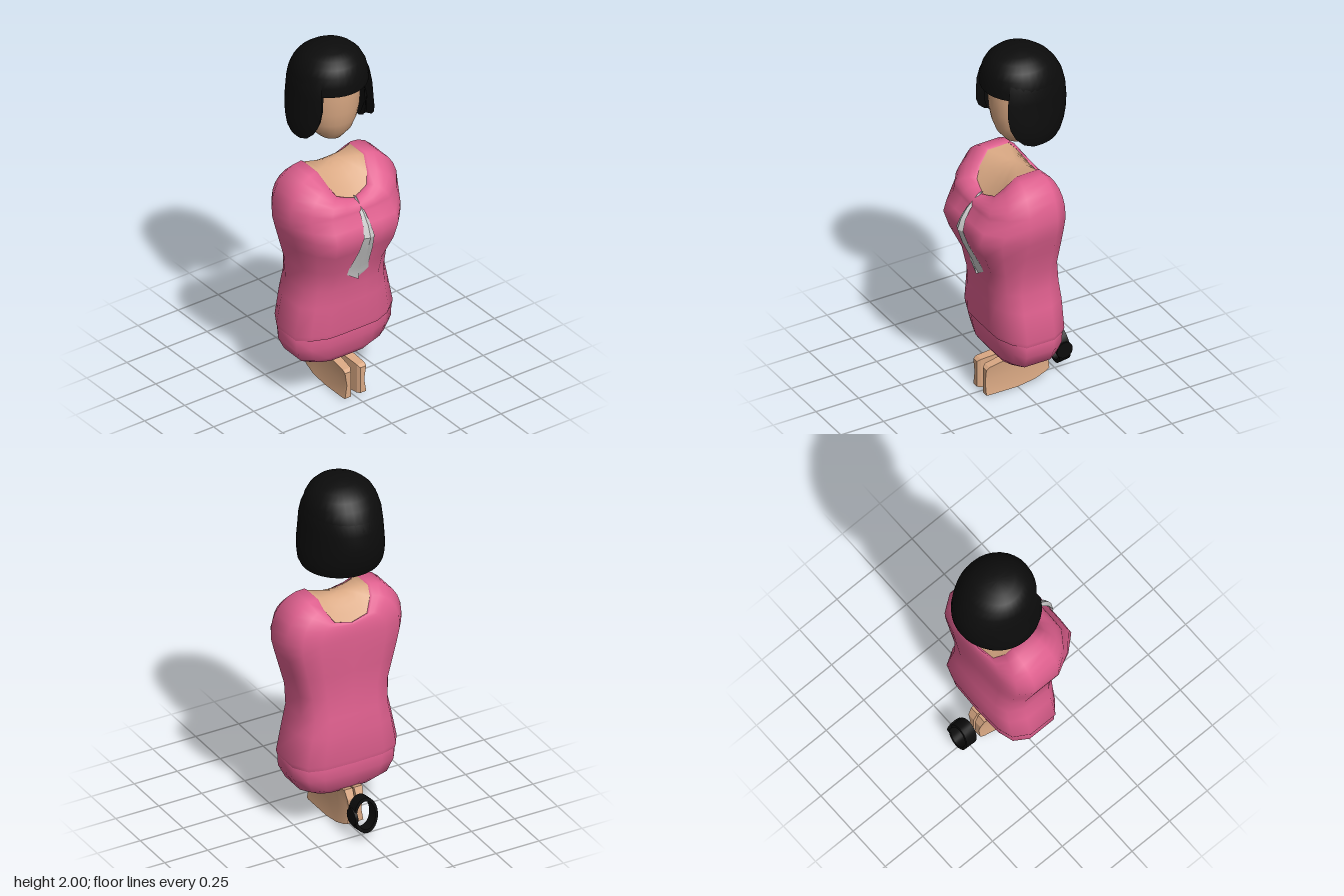
import * as THREE from 'three';
import { toCreasedNormals } from 'three/addons/utils/BufferGeometryUtils.js';

const PINK = 0xe0608f, SKIN = 0xd9a883, BLACK = 0x0c0c0c, GREY = 0xcccccc;

// Mesh through closed cross-sections, with optional fan caps; faces are turned outward
function loft(name, color, rings, { caps = true, crease = 1, double = false } = {}) {
  const n = rings[0].length, pos = rings.flat(2), idx = [];
  for (let r = 0; r < rings.length - 1; r++) {
    for (let i = 0; i < n; i++) {
      const a = r * n + i, b = r * n + (i + 1) % n;
      idx.push(a, b, b + n, a, b + n, a + n);
    }
  }
  if (caps) {
    [0, rings.length - 1].forEach((r, end) => {
      const c = pos.length / 3;
      for (let k = 0; k < 3; k++) pos.push(rings[r].reduce((s, p) => s + p[k], 0) / n);
      for (let i = 0; i < n; i++) {
        const a = r * n + i, b = r * n + (i + 1) % n;
        idx.push(c, end ? a : b, end ? b : a);
      }
    });
  }
  const P = i => new THREE.Vector3().fromArray(pos, i * 3);
  let volume = 0;
  for (let i = 0; i < idx.length; i += 3) {
    volume += P(idx[i]).dot(P(idx[i + 1]).cross(P(idx[i + 2])));
  }
  if (volume < 0) idx.reverse();
  const geo = new THREE.BufferGeometry();
  geo.setAttribute('position', new THREE.Float32BufferAttribute(pos, 3));
  geo.setIndex(idx);
  const mat = new THREE.MeshStandardMaterial({ color });
  if (double) mat.side = THREE.DoubleSide;
  const mesh = new THREE.Mesh(toCreasedNormals(geo, crease), mat);
  mesh.name = name;
  return mesh;
}

// Half outline from front middle to back middle, mirrored to a full ring
const mirrored = half => [...half, ...half.slice(1, -1).reverse().map(([x, y, z]) => [-x, y, z])];

// Body cross-section: height, half width, front z, back z, half width of the flat front
function bodyRing([y, w, zf, zb, fw]) {
  const s1 = Math.min(0.085, zf * 0.55), s2 = Math.max(-0.075, zb * 0.55);
  return mirrored([
    [0, y, zf], [fw / 2, y, zf], [fw, y, zf * 0.985],
    [fw * 0.42 + w * 0.58, y, zf * 0.58 + s1 * 0.42],
    [w, y, s1], [w, y, s2], [w * 0.84, y, zb * 0.83], [w * 0.56, y, zb * 0.97], [0, y, zb],
  ]);
}

// Oval ring with separate front and back depth
function ovalRing([y, w, zf, zb], zc = -0.04, n = 32) {
  return Array.from({ length: n }, (_, i) => {
    const a = i / n * Math.PI * 2, c = Math.cos(a);
    return [w * Math.sin(a), y, zc + c * (c > 0 ? zf - zc : zc - zb)];
  });
}

function createBody(group) {
  const rings = [
    [0.395, 0.298, 0.172, -0.185, 0.15], [0.42, 0.305, 0.177, -0.19, 0.15],
    [0.58, 0.272, 0.181, -0.19, 0.14], [0.68, 0.25, 0.186, -0.181, 0.14],
    [0.80, 0.257, 0.21, -0.167, 0.15], [0.93, 0.293, 0.268, -0.174, 0.18],
    [1.02, 0.318, 0.297, -0.178, 0.187], [1.08, 0.333, 0.278, -0.18, 0.187],
    [1.13, 0.334, 0.242, -0.18, 0.18],
  ].map(bodyRing);
  const neck = mirrored([
    [0, 1.19, 0.178], [0.05, 1.205, 0.17], [0.1, 1.225, 0.16], [0.13, 1.275, 0.125], [0.155, 1.34, 0.06],
    [0.155, 1.343, -0.07], [0.145, 1.3, -0.11], [0.1, 1.235, -0.155], [0, 1.215, -0.165],
  ]);
  // Shoulders curve over from the chest to the neckline
  const base = rings[rings.length - 1];
  for (let k = 1; k <= 6; k++) {
    const t = k / 6 * Math.PI / 2, h = 1 - Math.cos(t), v = Math.sin(t);
    rings.push(base.map(([x, y, z], i) => {
      const [nx, ny, nz] = neck[i];
      return [x + (nx - x) * h, y + (ny - y) * v, z + (nz - z) * h];
    }));
  }
  // Turned-in neckline edge
  rings.push(neck.map(([x, y, z]) => [x * 0.93, y - 0.006, z * 0.94]));
  group.add(loft('top', PINK, rings, { caps: false, crease: 1.1, double: true }));

  // Skin filling the neckline
  const skin = [0, 0.2, 0.4, 0.6, 0.8, 0.98].map(t => neck.map(([x, y, z]) => [
    x * 0.95 * (1 - t), y - 0.008 + (1.335 - y) * Math.sin(t * Math.PI / 2),
    z * 0.95 * (1 - t) - 0.02 * t]));
  group.add(loft('upperChest', SKIN, skin, { crease: 1.2, double: true }));

  group.add(loft('hips', PINK, [
    [0.43, 0.285, 0.155, -0.175, 0.14], [0.395, 0.297, 0.16, -0.182, 0.14],
    [0.33, 0.294, 0.152, -0.178, 0.14], [0.255, 0.257, 0.138, -0.16, 0.13],
    [0.215, 0.185, 0.11, -0.125, 0.1], [0.192, 0.11, 0.075, -0.08, 0.06],
    [0.183, 0.03, 0.02, -0.02, 0.015],
  ].map(bodyRing), { crease: 1.1 }));

  // Tie bending over the chest
  group.add(loft('tie', GREY, [
    [1.2, 0.005, 0.19], [1.13, 0.016, 0.26], [1.08, 0.023, 0.293], [1.02, 0.033, 0.313],
    [0.93, 0.043, 0.283], [0.8, 0.061, 0.222], [0.765, 0.066, 0.213], [0.72, 0.003, 0.205],
  ].map(([y, w, z]) => [[-w, y, z - 0.008], [0, y, z + 0.005], [w, y, z - 0.008], [0, y, z - 0.022]]),
  { crease: 0.5 }));
}

function createHead(group) {
  group.add(loft('face', SKIN, [
    [1.462, 0.02, 0.0, -0.05], [1.475, 0.06, 0.035, -0.085], [1.53, 0.115, 0.078, -0.14],
    [1.59, 0.14, 0.1, -0.18], [1.66, 0.153, 0.113, -0.2], [1.75, 0.157, 0.12, -0.2],
    [1.85, 0.155, 0.12, -0.2],
  ].map(r => ovalRing(r)), { crease: 1.2 }));

  // Crown of the hair with the fringe as its lower front
  group.add(loft('hairCrown', BLACK, [
    [1.8, 0.198, 0.16, -0.279], [1.85, 0.198, 0.16, -0.265], [1.9, 0.184, 0.15, -0.238],
    [1.94, 0.162, 0.13, -0.205], [1.97, 0.13, 0.1, -0.165], [1.99, 0.085, 0.055, -0.115],
    [2.0, 0.03, -0.01, -0.065],
  ].map(r => ovalRing(r)), { crease: 1.1 }));

  // Bob hanging round the sides and back, open at the face
  // rows: height, half width, front z, back z, angle of the front edge
  const rows = [
    [1.89, 0.184, 0.15, -0.24, 0.85], [1.84, 0.201, 0.175, -0.268, 0.85], [1.78, 0.206, 0.2, -0.284, 0.87],
    [1.7, 0.212, 0.205, -0.29, 0.88], [1.64, 0.219, 0.205, -0.284, 0.92], [1.59, 0.22, 0.2, -0.272, 1.02],
    [1.55, 0.217, 0.195, -0.255, 1.2], [1.528, 0.208, 0.18, -0.242, 1.42],
  ];
  const zc = -0.04, steps = 36, sections = [];
  for (let s = 0; s <= steps; s++) {
    const at = ([y, w, zf, zb, a0], k) => {
      const a = a0 + (Math.PI * 2 - 2 * a0) * s / steps, c = Math.cos(a);
      return [k * w * Math.sin(a), y, zc + k * c * (c > 0 ? zf - zc : zc - zb)];
    };
    sections.push([...rows.map(r => at(r, 1)), ...rows.slice().reverse().map(r => at(r, 0.8))]);
  }
  group.add(loft('hairBob', BLACK, sections, { crease: 0.9, double: true }));
}

function createHands(group) {
  // Slices along z: z, low y, high y, inner x, outer x
  const slices = [
    [0.187, 0.015, 0.165, 0.03, 0.066], [0.17, 0.012, 0.178, 0.02, 0.067], [0, 0.005, 0.2, 0.002, 0.06],
    [-0.1, 0.02, 0.222, 0.002, 0.06], [-0.17, 0.04, 0.24, 0.004, 0.052], [-0.192, 0.05, 0.19, 0.006, 0.046],
  ];
  for (const side of [1, -1]) {
    group.add(loft(side > 0 ? 'leftHand' : 'rightHand', SKIN, slices.map(([z, lo, hi, xi, xo]) => [
      [xi, hi], [xo, hi], [xo - 0.012, (lo + hi) / 2], [xo, lo], [xi, lo],
    ].map(([x, y]) => [side * x, y, z])), { crease: 0.4 }));
  }
}

function createWatch() {
  const watch = new THREE.Group();
  watch.name = 'watch';
  const mat = new THREE.MeshStandardMaterial({ color: BLACK });
  // Flat strap ring
  const strap = new THREE.Mesh(toCreasedNormals(new THREE.LatheGeometry(
    [[0.8, -0.033], [1, -0.033], [1, 0.033], [0.8, 0.033], [0.8, -0.033]]
      .map(([x, y]) => new THREE.Vector2(x, y)), 24), 0.6), mat);
  strap.name = 'strap';
  strap.rotation.x = Math.PI / 2;
  strap.scale.set(0.068, 1, 0.097);
  // Round case on the outer side
  const dial = new THREE.Mesh(new THREE.CylinderGeometry(0.046, 0.046, 0.016, 16), mat);
  dial.name = 'watchCase';
  dial.rotation.z = Math.PI / 2;
  dial.position.x = 0.061;
  watch.add(strap, dial);
  watch.position.set(0, 0.14, -0.27);
  watch.rotation.x = 0.14;
  return watch;
}

export function createModel() {
  const model = new THREE.Group();
  model.name = 'figure';
  createBody(model);
  createHead(model);
  createHands(model);
  model.add(createWatch());
  return model;
}
